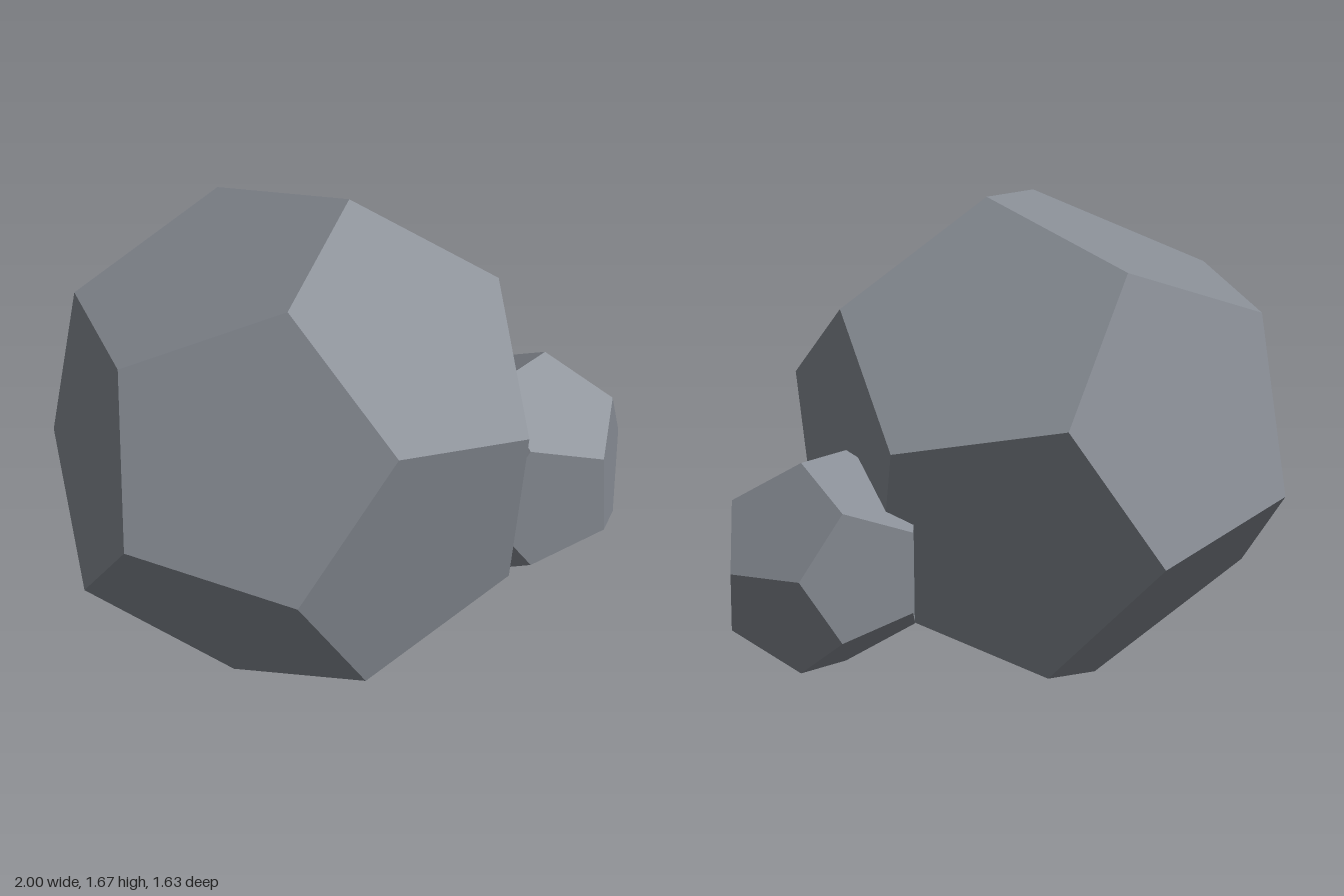
import * as THREE from 'three';

export function createModel() {
  const model = new THREE.Group();
  model.name = 'rocks';

  const stone = new THREE.MeshStandardMaterial({ color: 0x888d95, flatShading: true });
  stone.name = 'stone grey';

  // A twelve-sided boulder of the given corner radius
  function addRock(name, radius, position, rotation) {
    const rock = new THREE.Mesh(new THREE.DodecahedronGeometry(radius), stone);
    rock.name = name;
    rock.position.set(...position);
    rock.rotation.set(...rotation);
    model.add(rock);
  }

  // Large tilted boulder, with a small upright one leaning into its front left
  addRock('largeRock', 0.866, [-0.14, 0.836, 0], [-0.829, -0.444, 0.027]);
  addRock('smallRock', 0.382, [0.643, 0.492, 0.35], [0, 0, 0]);

  return model;
}
